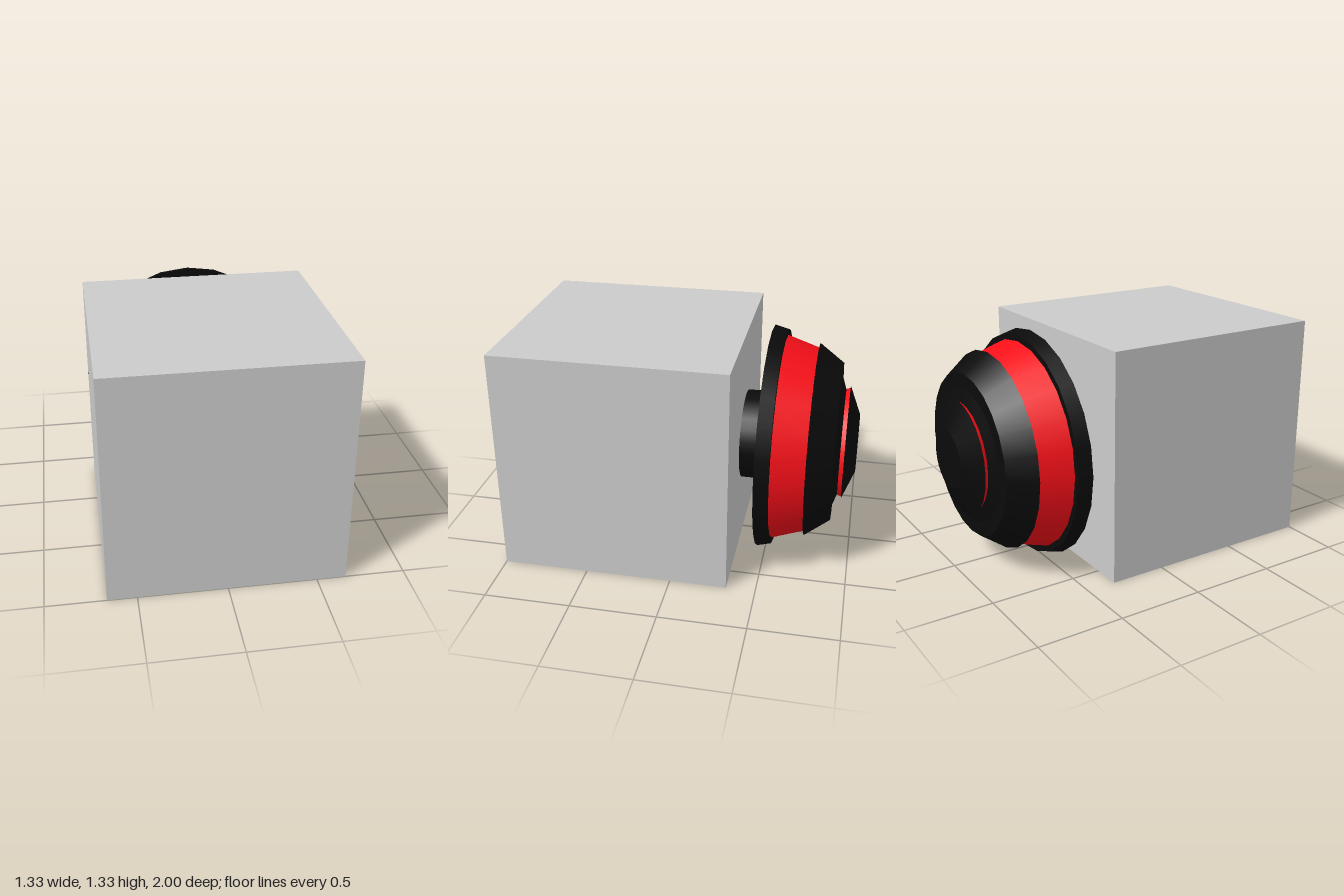
import * as THREE from 'three';

const SIDES = 24;
const CENTRE_Y = 0.665;

export function createModel() {
  const group = new THREE.Group();
  const grey = new THREE.MeshStandardMaterial({ color: 0xcccccc });
  const black = new THREE.MeshStandardMaterial({ color: 0x0a0a0a });
  const red = new THREE.MeshStandardMaterial({ color: 0xf50f18 });

  // Cube block at the front
  const block = new THREE.Mesh(new THREE.BoxGeometry(1.33, 1.33, 1.33), grey);
  block.name = 'block';
  block.position.set(0, CENTRE_Y, 0.335);
  group.add(block);

  // Round sections stacked backwards: name, material, front z, front radius, back z, back radius
  const sections = [
    ['stem', black, -0.33, 0.265, -0.465, 0.265],
    ['flange', black, -0.465, 0.665, -0.545, 0.645],
    ['redBand', red, -0.545, 0.61, -0.735, 0.548],
    ['dome', black, -0.735, 0.575, -0.88, 0.47],
    ['domeStep', black, -0.88, 0.39, -0.908, 0.31],
    ['redRing', red, -0.908, 0.315, -0.932, 0.325],
    ['endCap', black, -0.932, 0.335, -1, 0.17],
  ];
  for (const [name, material, z0, r0, z1, r1] of sections) {
    const geometry = new THREE.CylinderGeometry(r1, r0, z0 - z1, SIDES);
    geometry.rotateX(-Math.PI / 2);
    const mesh = new THREE.Mesh(geometry, material);
    mesh.name = name;
    mesh.position.set(0, CENTRE_Y, (z0 + z1) / 2);
    group.add(mesh);
  }
  return group;
}
